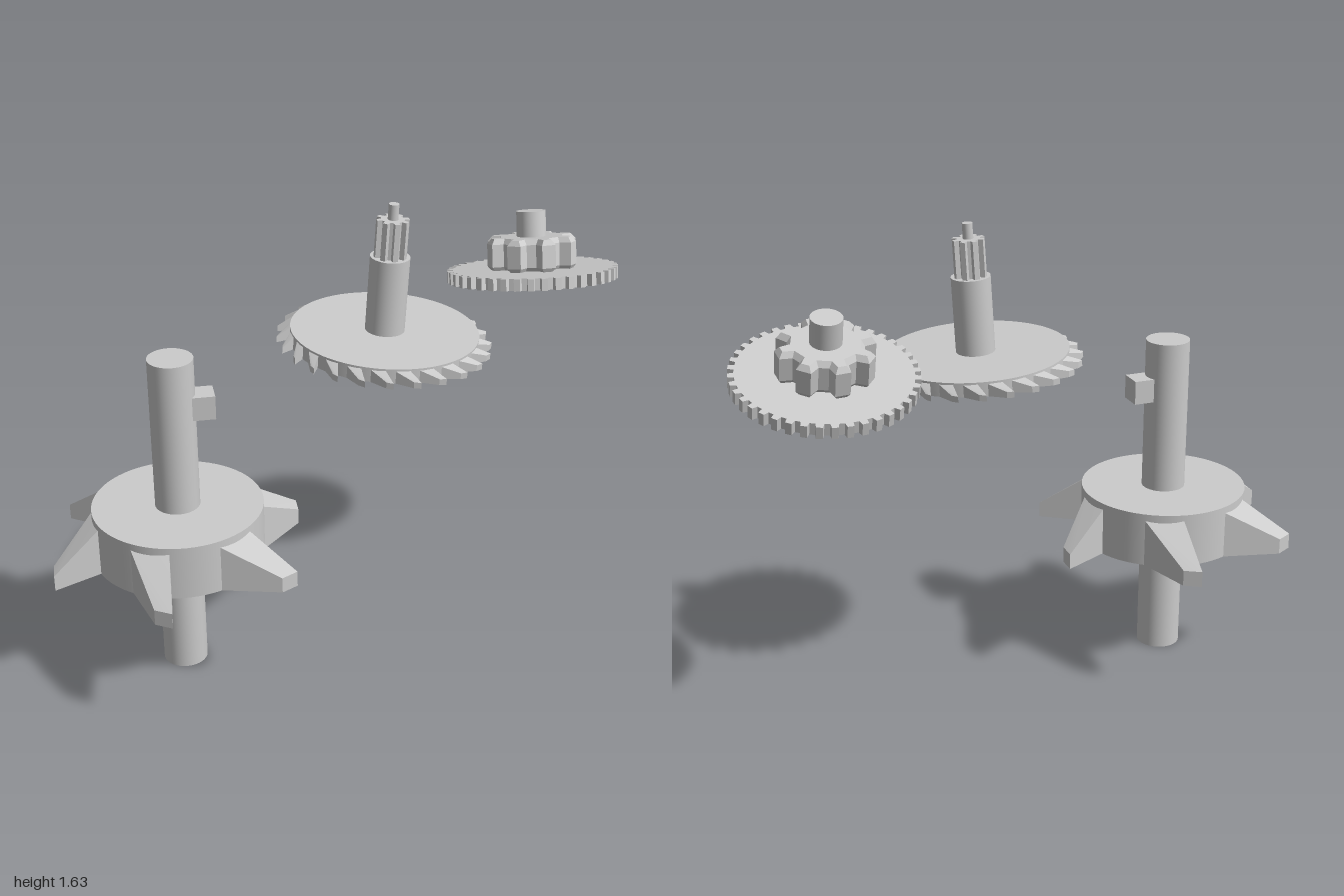
import * as THREE from 'three';
import { mergeGeometries } from 'three/addons/utils/BufferGeometryUtils.js';

const material = new THREE.MeshStandardMaterial({ color: 0xcccccc });
const DEG = Math.PI / 180;

function add(parent, name, geometry) {
  const mesh = new THREE.Mesh(geometry, material);
  mesh.name = name;
  parent.add(mesh);
  return mesh;
}

// Upright cylinder between two heights
function rod(parent, name, r, y0, y1, segments = 48) {
  const g = new THREE.CylinderGeometry(r, r, y1 - y0, segments);
  g.translate(0, (y0 + y1) / 2, 0);
  return add(parent, name, g);
}

// Spur gear; each tooth is a trapezoid given in fractions of the pitch
function spurGear(parent, name, { teeth, root, outer, y0, y1, phase = 0, bevel = 0, foot = 0.32, tip = 0.2 }) {
  const points = [];
  const pitch = (2 * Math.PI) / teeth;
  for (let i = 0; i < teeth; i++) {
    for (const [r, f] of [[root, -foot], [outer, -tip], [outer, tip], [root, foot]]) {
      const a = phase * DEG + (i + f) * pitch;
      points.push(new THREE.Vector2(r * Math.cos(a), r * Math.sin(a)));
    }
  }
  const g = new THREE.ExtrudeGeometry(new THREE.Shape(points), {
    depth: y1 - y0 - 2 * bevel,
    bevelEnabled: bevel > 0,
    bevelThickness: bevel,
    bevelSize: bevel * 0.7,
    bevelOffset: -bevel * 0.7,
    bevelSegments: 1,
  });
  g.rotateX(-Math.PI / 2);
  g.translate(0, y0 + bevel, 0);
  return add(parent, name, g);
}

// Ring of swept wedge teeth: wide and tall at the disc, small at the tip.
// Corner angles are in degrees relative to the tooth's tip direction.
function sweptTeeth(parent, name, { count, phase, y0, base, tip }) {
  const parts = [];
  for (let i = 0; i < count; i++) {
    const g = new THREE.BoxGeometry(1, 1, 1);
    const p = g.attributes.position;
    for (let v = 0; v < p.count; v++) {
      const end = p.getX(v) > 0 ? tip : base;
      const side = p.getZ(v) > 0 ? 0 : 1;
      const a = (phase + (360 / count) * i + end.angles[side]) * DEG;
      const r = end.radii[side];
      p.setXYZ(v, r * Math.cos(a), p.getY(v) > 0 ? y0 + end.height : y0, -r * Math.sin(a));
    }
    g.computeVertexNormals();
    parts.push(g);
  }
  return add(parent, name, mergeGeometries(parts));
}

export function createModel() {
  const model = new THREE.Group();

  // Drive shaft with a six-tooth wheel and a square key
  const drive = new THREE.Group();
  drive.name = 'driveWheel';
  drive.position.set(-0.575, 0, 0.035);
  rod(drive, 'driveShaft', 0.076, 0, 1.16);
  rod(drive, 'driveDisc', 0.29, 0.43, 0.62, 64);
  sweptTeeth(drive, 'driveTeeth', {
    count: 6, phase: 77.5, y0: 0.43,
    base: { angles: [-28, 1], radii: [0.28, 0.28], height: 0.175 },
    tip: { angles: [-3.8, 3.8], radii: [0.44, 0.46], height: 0.055 },
  });
  const key = add(drive, 'shaftKey', new THREE.BoxGeometry(0.12, 0.083, 0.083));
  key.position.set(0.077, 0.99, 0.004);
  model.add(drive);

  // Middle wheel, leaning slightly to +x
  const middle = new THREE.Group();
  middle.name = 'middleWheel';
  middle.position.set(0.128, 1.154, 0.034);
  middle.rotation.z = -3.3 * DEG;
  rod(middle, 'middleDisc', 0.31, 0, 0.048, 64);
  sweptTeeth(middle, 'middleTeeth', {
    count: 25, phase: 88, y0: 0,
    base: { angles: [-13, -3], radii: [0.303, 0.303], height: 0.045 },
    tip: { angles: [-1.8, 1.8], radii: [0.346, 0.354], height: 0.02 },
  });
  rod(middle, 'middleShaft', 0.065, 0.04, 0.302);
  spurGear(middle, 'middlePinion', { teeth: 8, root: 0.038, outer: 0.054, y0: 0.3, y1: 0.427, phase: 5 });
  rod(middle, 'middlePin', 0.017, 0.42, 0.478, 24);
  model.add(middle);

  // End gear, tilted toward the back
  const end = new THREE.Group();
  end.name = 'endGear';
  end.position.set(0.703, 1.255, -0.21);
  end.rotation.x = -15 * DEG;
  spurGear(end, 'endDisc', { teeth: 40, root: 0.273, outer: 0.292, y0: -0.02, y1: 0.02, foot: 0.3, tip: 0.22 });
  spurGear(end, 'endPinion', {
    teeth: 8, root: 0.118, outer: 0.155, y0: 0.015, y1: 0.128, phase: 5, bevel: 0.018, foot: 0.33, tip: 0.2,
  });
  rod(end, 'endShaft', 0.05, 0.1, 0.214);
  model.add(end);

  return model;
}
